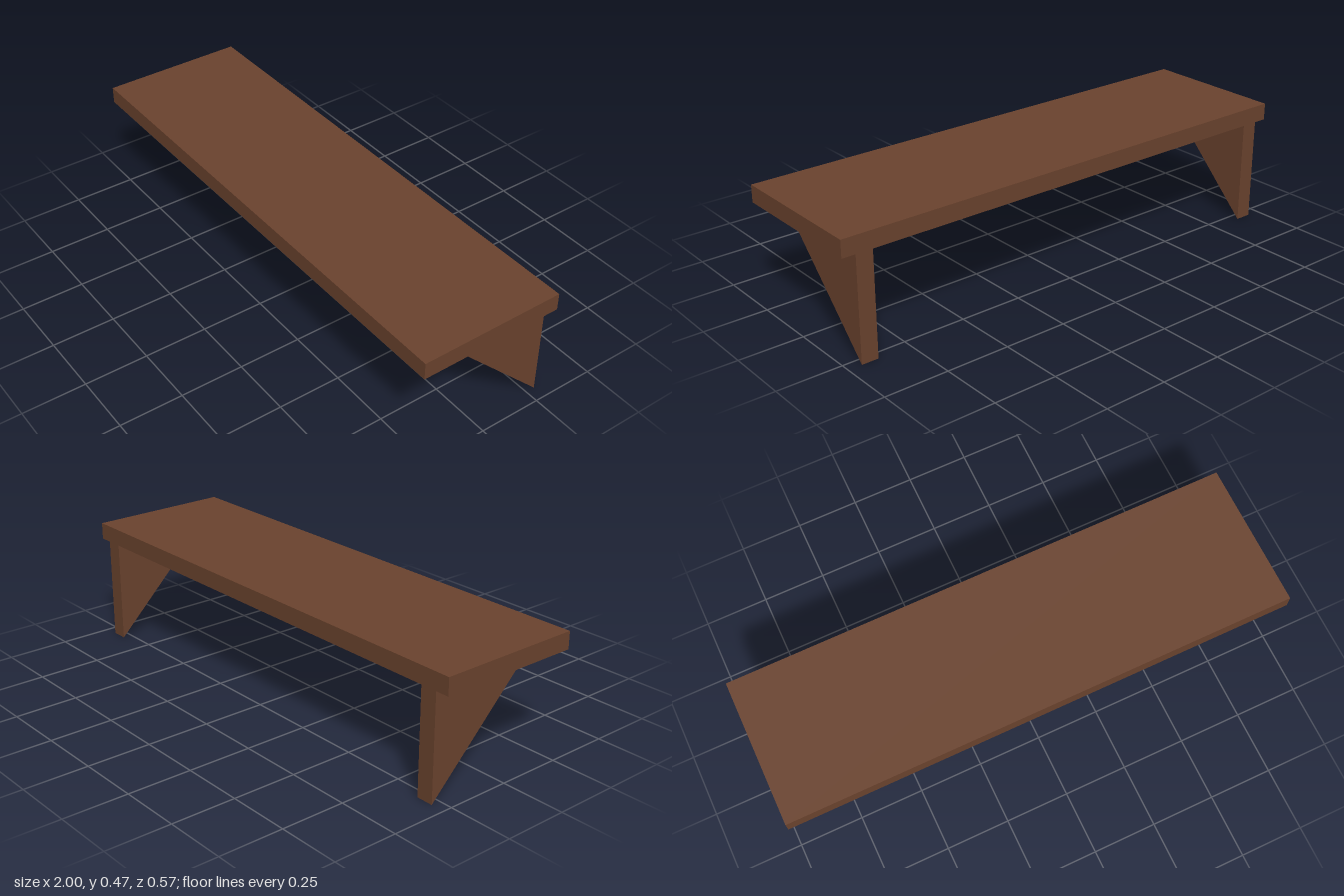
import * as THREE from 'three';

const WIDTH = 2, DEPTH = 0.574, UNDERSIDE = 0.408, TOP = 0.475;
const BRACKET_THICKNESS = 0.066, BRACKET_REACH = 0.411, BRACKET_X = 0.914;

export function createModel() {
  const group = new THREE.Group();
  group.name = 'wallShelf';
  const wood = new THREE.MeshStandardMaterial({ color: 0x6b432e });
  wood.name = 'brown wood';

  // Board
  const board = new THREE.Mesh(new THREE.BoxGeometry(WIDTH, TOP - UNDERSIDE, DEPTH), wood);
  board.name = 'board';
  board.position.y = (TOP + UNDERSIDE) / 2;
  group.add(board);

  // Triangular brackets, flush with the back edge
  const back = -DEPTH / 2;
  const profile = new THREE.Shape([
    new THREE.Vector2(back, 0),
    new THREE.Vector2(back + BRACKET_REACH, UNDERSIDE),
    new THREE.Vector2(back, UNDERSIDE),
  ]);
  const bracketGeometry = new THREE.ExtrudeGeometry(profile, { depth: BRACKET_THICKNESS, bevelEnabled: false });
  bracketGeometry.translate(0, 0, -BRACKET_THICKNESS / 2);
  bracketGeometry.rotateY(-Math.PI / 2); // profile x becomes model z

  for (const side of [-1, 1]) {
    const bracket = new THREE.Mesh(bracketGeometry, wood);
    bracket.name = side > 0 ? 'leftBracket' : 'rightBracket';
    bracket.position.x = side * BRACKET_X;
    group.add(bracket);
  }
  return group;
}
